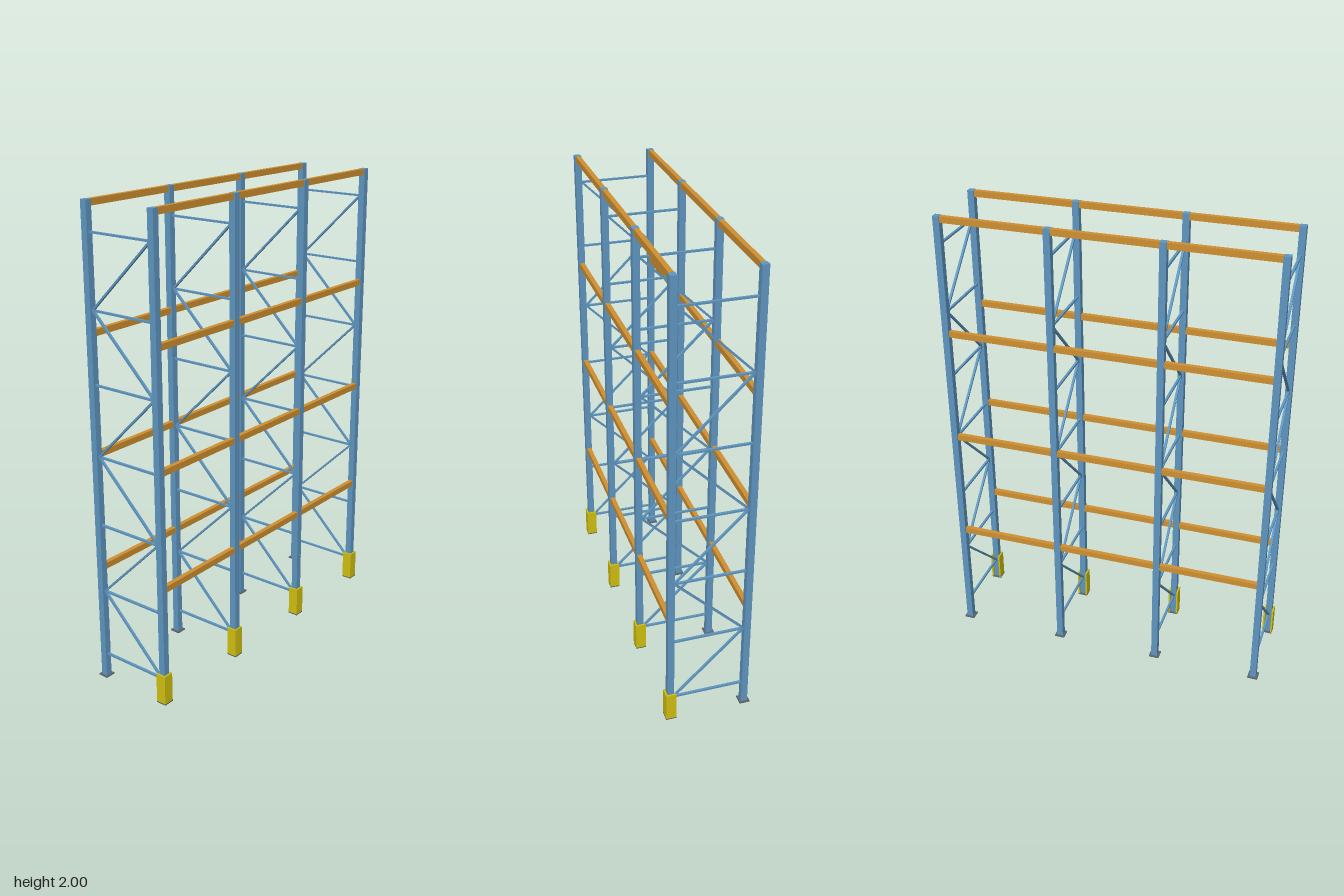
import * as THREE from 'three';

const blue = new THREE.MeshStandardMaterial({ color: 0x5f96c0 });
blue.name = 'blue paint';
const orange = new THREE.MeshStandardMaterial({ color: 0xcf9030 });
orange.name = 'orange paint';
const yellow = new THREE.MeshStandardMaterial({ color: 0xd2c010 });
yellow.name = 'yellow paint';
const steel = new THREE.MeshStandardMaterial({ color: 0x5a646e });
steel.name = 'dark steel';

const FRAME_X = [-0.69, -0.23, 0.23, 0.69];
const POST_Z = 0.164;
const POST = 0.028;
const BEAM_H = 0.026;
const GUARD = 0.045;
const GUARD_H = 0.132;

function box(name, material, size, position) {
  const mesh = new THREE.Mesh(new THREE.BoxGeometry(...size), material);
  mesh.name = name;
  mesh.position.set(...position);
  return mesh;
}

// Bar lying in the frame plane between two (y, z) points
function brace(name, y0, z0, y1, z1) {
  const length = Math.hypot(y1 - y0, z1 - z0);
  const bar = box(name, blue, [0.01, 0.008, length], [0, (y0 + y1) / 2, (z0 + z1) / 2]);
  bar.rotation.x = -Math.atan2(y1 - y0, z1 - z0);
  return bar;
}

// Channel wrapped round the front and sides of a post
function createGuard() {
  const o = GUARD / 2, i = POST / 2 + 0.001;
  const shape = new THREE.Shape([
    [-o, o], [-o, -o], [o, -o], [o, o], [i, o], [i, -i], [-i, -i], [-i, o],
  ].map(([x, y]) => new THREE.Vector2(x, y)));
  const geometry = new THREE.ExtrudeGeometry(shape, { depth: GUARD_H - 0.005, bevelEnabled: false });
  geometry.rotateX(-Math.PI / 2);
  const guard = new THREE.Mesh(geometry, yellow);
  guard.name = 'postGuard';
  guard.position.set(0, 0.005, POST_Z);
  return guard;
}

function createFrame() {
  const frame = new THREE.Group();
  frame.name = 'uprightFrame';
  // Posts on base plates
  for (const side of [1, -1]) {
    const z = side * POST_Z;
    frame.add(box('post', blue, [POST, 1.995, POST], [0, 1.0025, z]));
    frame.add(box('basePlate', steel, [GUARD, 0.005, GUARD], [0, 0.0025, z]));
  }
  frame.add(createGuard());

  // Horizontal struts with zigzag diagonals between them
  const reach = POST_Z - POST / 2;
  const step = 0.296;
  for (let i = 0; i < 7; i++) {
    const y = 0.105 + i * step;
    frame.add(brace('strut', y, -reach, y, reach));
    if (i < 6) {
      const side = i % 2 ? -1 : 1;
      frame.add(brace('diagonal', y, side * reach, y + step, -side * reach));
    }
  }
  return frame;
}

export function createModel() {
  const model = new THREE.Group();
  model.name = 'palletRack';

  for (const x of FRAME_X) {
    const frame = createFrame();
    frame.position.x = x;
    model.add(frame);
  }

  // Shelf beams between neighbouring frames, front and back
  for (let level = 0; level < 4; level++) {
    const y = 0.507 + level * 0.4933;
    for (let bay = 0; bay < 3; bay++) {
      const x = (FRAME_X[bay] + FRAME_X[bay + 1]) / 2;
      for (const side of [1, -1]) {
        model.add(box('beam', orange, [0.46 - POST, BEAM_H, 0.02], [x, y, side * POST_Z]));
      }
    }
  }
  return model;
}
